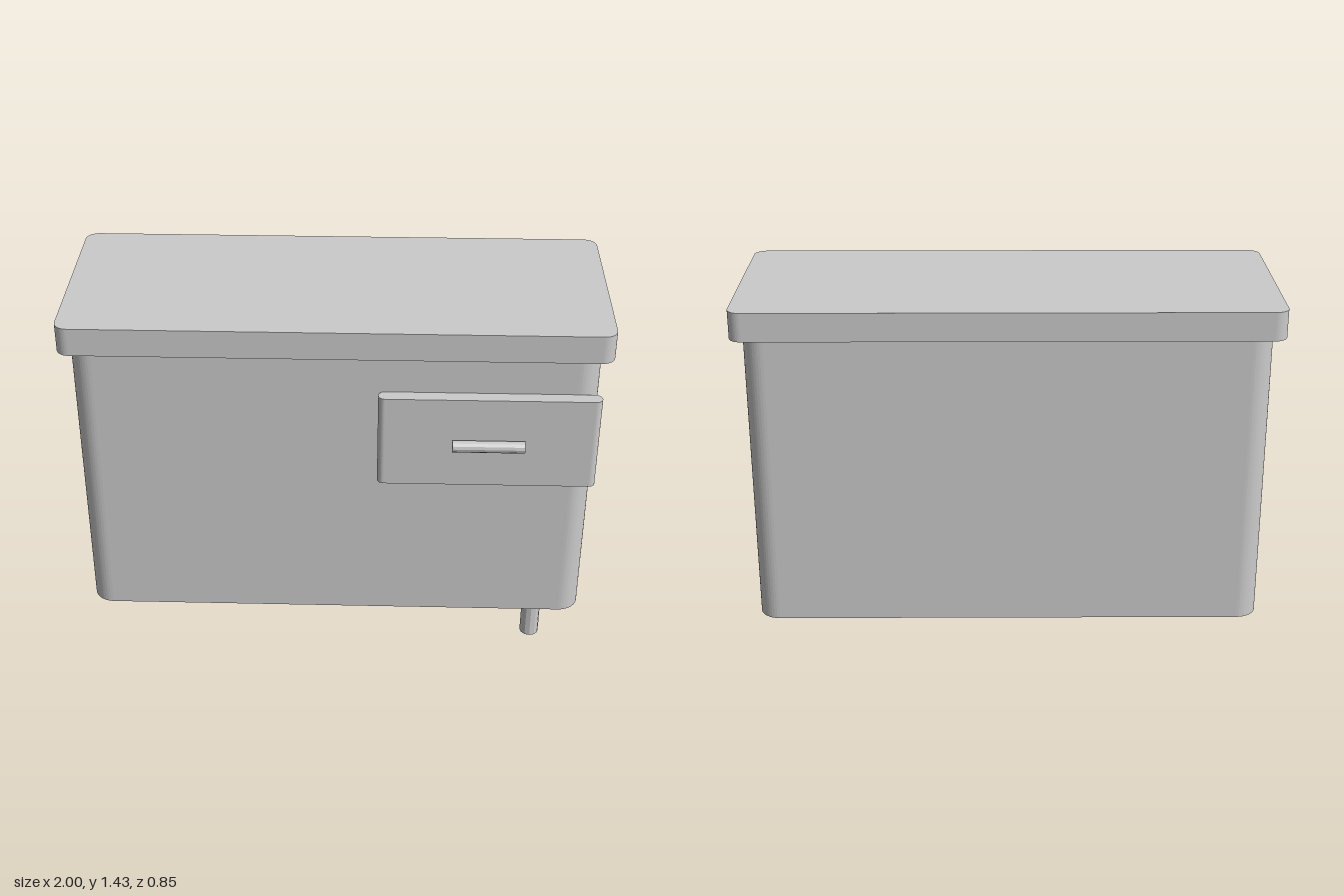
import * as THREE from 'three';

const grey = new THREE.MeshStandardMaterial({ color: 0xcccccc, flatShading: true });

// Upright slab with rounded vertical corners, given by its extents
function roundedSlab(name, [x0, x1], [y0, y1], [z0, z1], r, segments) {
  const w = (x1 - x0) / 2, d = (z1 - z0) / 2;
  const shape = new THREE.Shape();
  shape.absarc(w - r, d - r, r, 0, Math.PI / 2);
  shape.absarc(-w + r, d - r, r, Math.PI / 2, Math.PI);
  shape.absarc(-w + r, -d + r, r, Math.PI, Math.PI * 1.5);
  shape.absarc(w - r, -d + r, r, Math.PI * 1.5, Math.PI * 2);
  shape.closePath();
  const geometry = new THREE.ExtrudeGeometry(shape, {
    depth: y1 - y0, bevelEnabled: false, curveSegments: segments,
  });
  geometry.rotateX(-Math.PI / 2);
  const mesh = new THREE.Mesh(geometry, grey);
  mesh.name = name;
  mesh.position.set((x0 + x1) / 2, y0, (z0 + z1) / 2);
  return mesh;
}

function rod(name, radius, length, x, y, z) {
  const mesh = new THREE.Mesh(new THREE.CylinderGeometry(radius, radius, length, 12), grey);
  mesh.name = name;
  mesh.position.set(x, y, z);
  return mesh;
}

export function createModel() {
  const model = new THREE.Group();
  model.name = 'cabinet';

  // Main box and the overhanging top, separated by a hairline gap
  model.add(roundedSlab('body', [-0.96, 0.96], [0.185, 1.315], [-0.395, 0.33], 0.08, 6));
  model.add(roundedSlab('top', [-1, 1], [1.322, 1.43], [-0.427, 0.36], 0.05, 6));

  // Drawer front with a round bar handle
  model.add(roundedSlab('drawerFront', [0.158, 0.966], [0.81, 1.175], [0.33, 0.382], 0.025, 6));
  const handle = rod('drawerHandle', 0.022, 0.265, 0.562, 0.993, 0.405);
  handle.rotation.z = Math.PI / 2;
  model.add(handle);

  // Single leg under the front corner
  model.add(rod('leg', 0.037, 0.187, 0.785, 0.0935, 0.23));

  return model;
}
